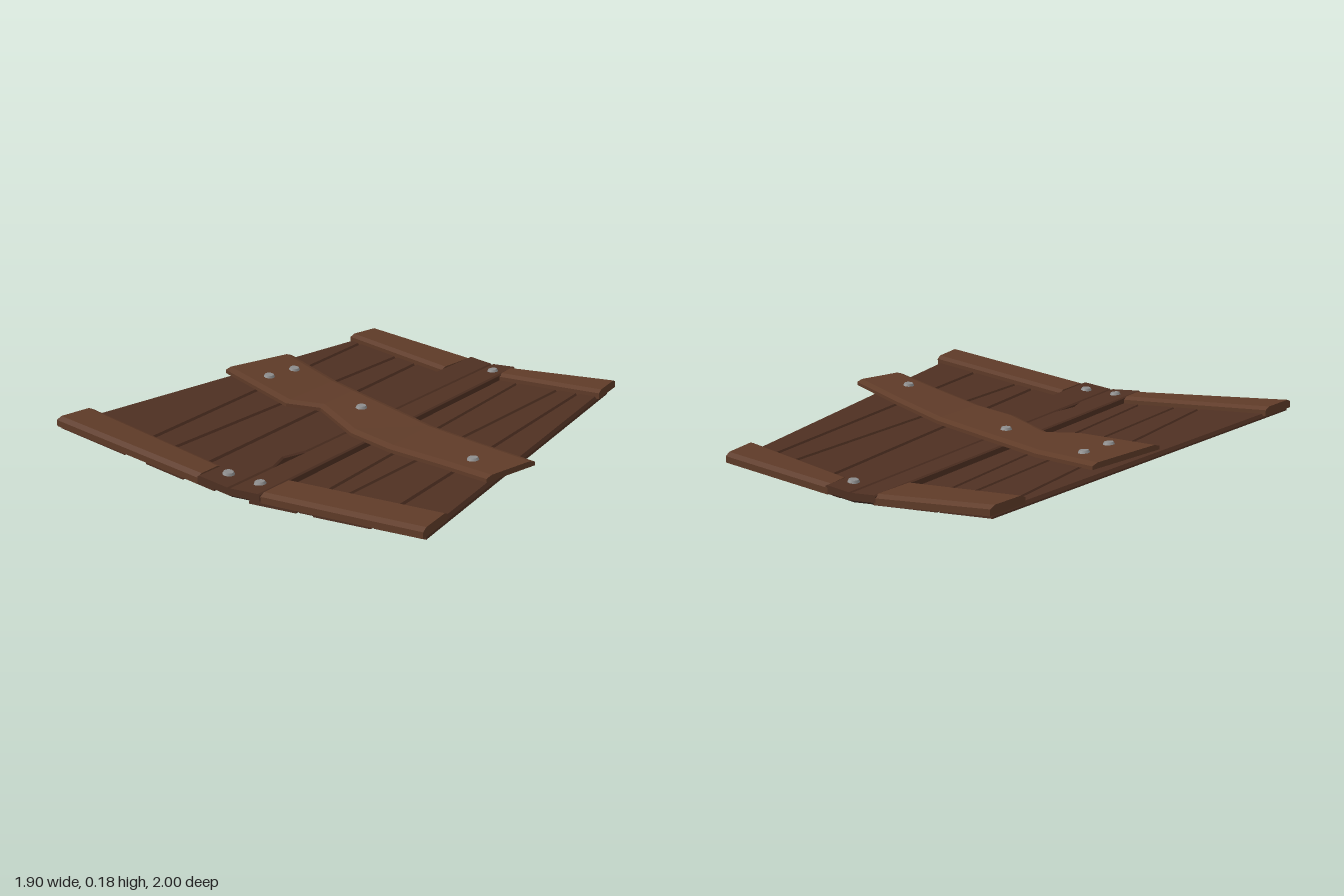
import * as THREE from 'three';

const plankMat = new THREE.MeshStandardMaterial({ color: 0x4f3022 });
const boardMat = new THREE.MeshStandardMaterial({ color: 0x5f3b28 });
const darkMat = new THREE.MeshStandardMaterial({ color: 0x2a1a13 });
const boltMat = new THREE.MeshStandardMaterial({ color: 0x8c8c8c });
for (const m of [plankMat, boardMat, darkMat]) m.flatShading = true;

// Top of the shallow V formed by the planks, and of the parts lying on it
const deck = (x, z) => 0.035 + 0.09 * Math.abs(x) + 0.022 * z;
const raised = (x, z) => deck(x, z) + 0.03;
const braceTop = (x, z) => Math.max(0.106, deck(x, z) + 0.04);

// Lofts a bevelled board through sections [[x, z], [x, z]] (one edge, other edge)
function board(name, mat, sections, top, thick, bevel, drop) {
  const rings = sections.map(([l, r]) => {
    const k = bevel / Math.hypot(r[0] - l[0], r[1] - l[1]);
    return [[0, thick], [0, drop], [k, 0], [1 - k, 0], [1, drop], [1, thick]].map(([t, d]) => {
      const x = l[0] + (r[0] - l[0]) * t, z = l[1] + (r[1] - l[1]) * t;
      return [x, top(x, z) - d, z];
    });
  });
  const pos = [];
  const tri = (a, b, c) => pos.push(...a, ...b, ...c);
  for (let i = 0; i < rings.length - 1; i++) {
    for (let j = 0; j < 6; j++) {
      const a = rings[i][j], b = rings[i][(j + 1) % 6];
      const c = rings[i + 1][(j + 1) % 6], d = rings[i + 1][j];
      tri(a, d, c);
      tri(a, c, b);
    }
  }
  const first = rings[0], last = rings[rings.length - 1];
  for (let j = 1; j < 5; j++) {
    tri(first[0], first[j], first[j + 1]);
    tri(last[0], last[j + 1], last[j]);
  }
  const geo = new THREE.BufferGeometry();
  geo.setAttribute('position', new THREE.Float32BufferAttribute(pos, 3));
  geo.computeVertexNormals();
  const mesh = new THREE.Mesh(geo, mat);
  mesh.name = name;
  return mesh;
}

export function createModel() {
  const group = new THREE.Group();

  // Planks between seams given as [x at back, x at front]
  const seams = {
    left: [[-0.68, -0.945], [-0.655, -0.575], [-0.415, -0.455], [-0.305, -0.25], [-0.08, -0.1]],
    right: [[0.08, 0.1], [0.23, 0.34], [0.465, 0.425], [0.565, 0.7], [0.66, 0.94]],
  };
  for (const [side, s] of Object.entries(seams)) {
    for (let i = 0; i < s.length - 1; i++) {
      const back = -0.95 + 0.015 * (i % 2), front = 0.985 - 0.02 * (i % 2);
      group.add(board(side + 'Plank' + (i + 1), plankMat, [
        [[s[i][0], back], [s[i + 1][0], back]],
        [[s[i][1], front], [s[i + 1][1], front]],
      ], deck, 0.022 + 0.005 * (i % 2), 0.01, 0.015));
    }
  }

  // Dark strip closing the gap under the middle boards
  for (const sx of [-1, 1]) {
    const strip = (z) => (sx < 0 ? [[-0.11, z], [0, z]] : [[0, z], [0.11, z]]);
    group.add(board('spine', darkMat, [strip(-0.96), strip(0.97)], deck, 0.015, 0.002, 0.002));
  }

  // Two middle boards meeting at the crease, the left one with a chipped edge
  group.add(board('middleBoardLeft', plankMat, [
    [[-0.13, -0.98], [0, -0.98]],
    [[-0.16, 0.48], [0, 0.48]],
    [[-0.16, 0.6], [-0.03, 0.6]],
    [[-0.162, 0.7], [0, 0.7]],
    [[-0.165, 0.99], [0, 0.99]],
  ], raised, 0.032, 0.008, 0.006));
  group.add(board('middleBoardRight', plankMat, [
    [[0, -0.98], [0.13, -0.98]],
    [[0, 0.99], [0.16, 0.99]],
  ], raised, 0.032, 0.008, 0.006));

  // Cross boards: sections run along x, front edge first
  const cross = {
    backLeftEnd: [[[-0.705, -0.77], [-0.675, -0.96]], [[-0.14, -0.75], [-0.12, -0.98]]],
    backRightEnd: [[[0.13, -0.84], [0.12, -0.98]], [[0.69, -0.8], [0.665, -1]]],
    frontLeftEnd: [[[-0.955, 1], [-0.93, 0.805]], [[-0.165, 0.99], [-0.165, 0.84]]],
    frontRightEnd: [[[0.16, 0.985], [0.16, 0.78]], [[0.95, 1], [0.925, 0.8]]],
  };
  for (const [name, sections] of Object.entries(cross)) {
    group.add(board(name + 'Board', boardMat, sections, raised, 0.04, 0.025, 0.012));
  }

  // Broken diagonal brace
  group.add(board('diagonalBrace', boardMat, [
    [[-0.82, 0.05], [-0.73, -0.33]],
    [[-0.38, 0.15], [-0.38, -0.225]],
    [[-0.23, 0.09], [-0.23, -0.18]],
    [[0.06, 0.25], [0.06, -0.095]],
    [[0.3, 0.305], [0.3, -0.022]],
    [[0.6, 0.37], [0.6, 0.068]],
    [[0.865, 0.435], [0.93, 0.17]],
  ], braceTop, 0.026, 0.03, 0.01));

  // Bolts
  const boltGeo = new THREE.CylinderGeometry(0.021, 0.028, 0.014, 10);
  const bolts = [
    [0.07, -0.875, raised], [-0.085, 0.89, raised], [0.08, 0.89, raised],
    [-0.59, -0.175, braceTop], [-0.615, -0.02, braceTop],
    [-0.07, 0, braceTop], [0.705, 0.285, braceTop],
  ];
  for (const [x, z, top] of bolts) {
    const bolt = new THREE.Mesh(boltGeo, boltMat);
    bolt.name = 'bolt';
    bolt.position.set(x, top(x, z) + 0.004, z);
    bolt.rotation.z = Math.atan((top(x + 0.02, z) - top(x - 0.02, z)) / 0.04);
    group.add(bolt);
  }
  return group;
}
